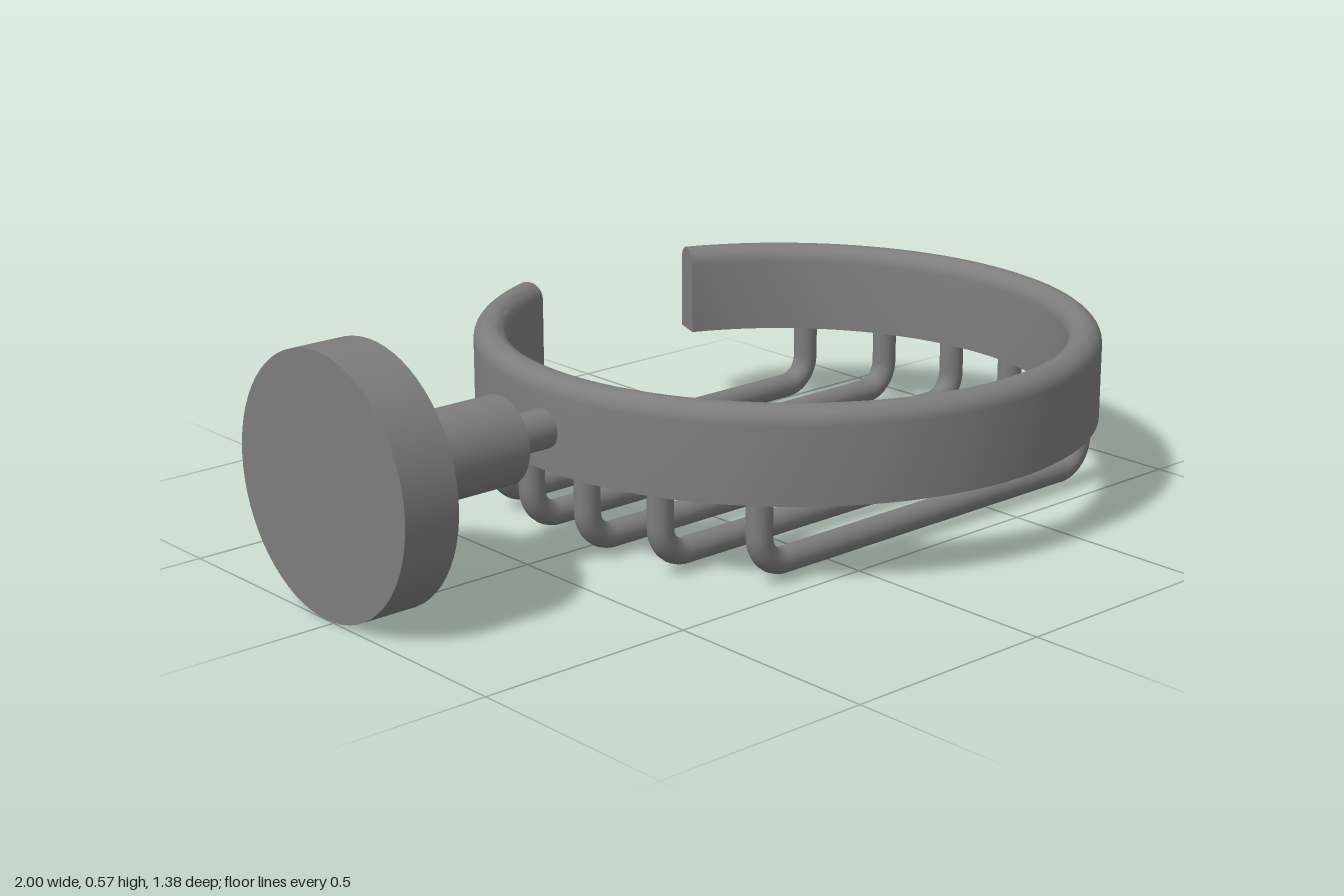
import * as THREE from 'three';
import { toCreasedNormals } from 'three/addons/utils/BufferGeometryUtils.js';

const CX = 0.286, CZ = -0.026;          // ring centre
const R_OUT = 0.714, R_IN = 0.637;      // ring radii
const R_MID = (R_OUT + R_IN) / 2;
const RING_BOTTOM = 0.191, RING_TOP = 0.402;
const AXIS_Y = 0.285;                   // height of the wall mount axis

const material = new THREE.MeshStandardMaterial({ color: 0x7d7d7d });
const ringMaterial = new THREE.MeshStandardMaterial({ color: 0x7d7d7d, side: THREE.DoubleSide });

function addMesh(parent, name, geometry, mat = material) {
  const mesh = new THREE.Mesh(geometry, mat);
  mesh.name = name;
  parent.add(mesh);
  return mesh;
}

// Cylinder lying along x between two positions
function addRod(parent, name, x0, x1, radius) {
  const mesh = addMesh(parent, name, new THREE.CylinderGeometry(radius, radius, x1 - x0, 64));
  mesh.rotation.z = Math.PI / 2;
  mesh.position.set((x0 + x1) / 2, AXIS_Y, CZ);
}

// Open band: flat bottom, rounded top edge, gap at the back
function createRing() {
  const ring = new THREE.Group();
  ring.name = 'ring';
  ring.position.set(CX, 0, CZ);

  const round = (R_OUT - R_IN) / 2;
  const profile = [new THREE.Vector2(R_IN, RING_BOTTOM), new THREE.Vector2(R_OUT, RING_BOTTOM)];
  for (let i = 0; i <= 12; i++) {
    const a = (i / 12) * Math.PI;
    profile.push(new THREE.Vector2(R_MID + round * Math.cos(a), RING_TOP - round + round * Math.sin(a)));
  }
  const outline = [...profile, profile[0].clone()];

  const halfGap = THREE.MathUtils.degToRad(22);
  const start = Math.PI + halfGap, length = 2 * Math.PI - 2 * halfGap;
  const band = new THREE.LatheGeometry(outline, 96, start, length);
  addMesh(ring, 'band', toCreasedNormals(band, 0.6), ringMaterial);

  // Flat faces closing both ends of the band
  for (const phi of [start, start + length]) {
    const cap = addMesh(ring, 'bandEnd', new THREE.ShapeGeometry(new THREE.Shape(profile)), ringMaterial);
    cap.rotation.y = phi - Math.PI / 2;
  }
  return ring;
}

// U-shaped wire hanging from the band
function createWire(z) {
  const half = Math.sqrt(R_MID ** 2 - (z - CZ) ** 2);
  const y = 0.043, top = 0.22, bend = 0.068, k = bend * (1 - 0.5523);
  const p = (x, h) => new THREE.Vector3(CX + x, h, z);
  const path = new THREE.CurvePath();
  path.add(new THREE.LineCurve3(p(-half, top), p(-half, y + bend)));
  path.add(new THREE.CubicBezierCurve3(p(-half, y + bend), p(-half, y + k), p(-half + k, y), p(-half + bend, y)));
  path.add(new THREE.LineCurve3(p(-half + bend, y), p(half - bend, y)));
  path.add(new THREE.CubicBezierCurve3(p(half - bend, y), p(half - k, y), p(half, y + k), p(half, y + bend)));
  path.add(new THREE.LineCurve3(p(half, y + bend), p(half, top)));
  return new THREE.TubeGeometry(path, 140, 0.029, 20);
}

export function createModel() {
  const model = new THREE.Group();
  model.name = 'soapBasket';

  // Wall mount
  addRod(model, 'wallFlange', -1, -0.87, 0.284);
  addRod(model, 'mountStem', -0.87, -0.544, 0.098);
  addRod(model, 'connectingRod', -0.544, -0.39, 0.044);

  // Basket
  model.add(createRing());
  for (const z of [-0.479, -0.309, -0.129, 0.062, 0.242, 0.423]) {
    addMesh(model, 'basketWire', createWire(z));
  }
  return model;
}
